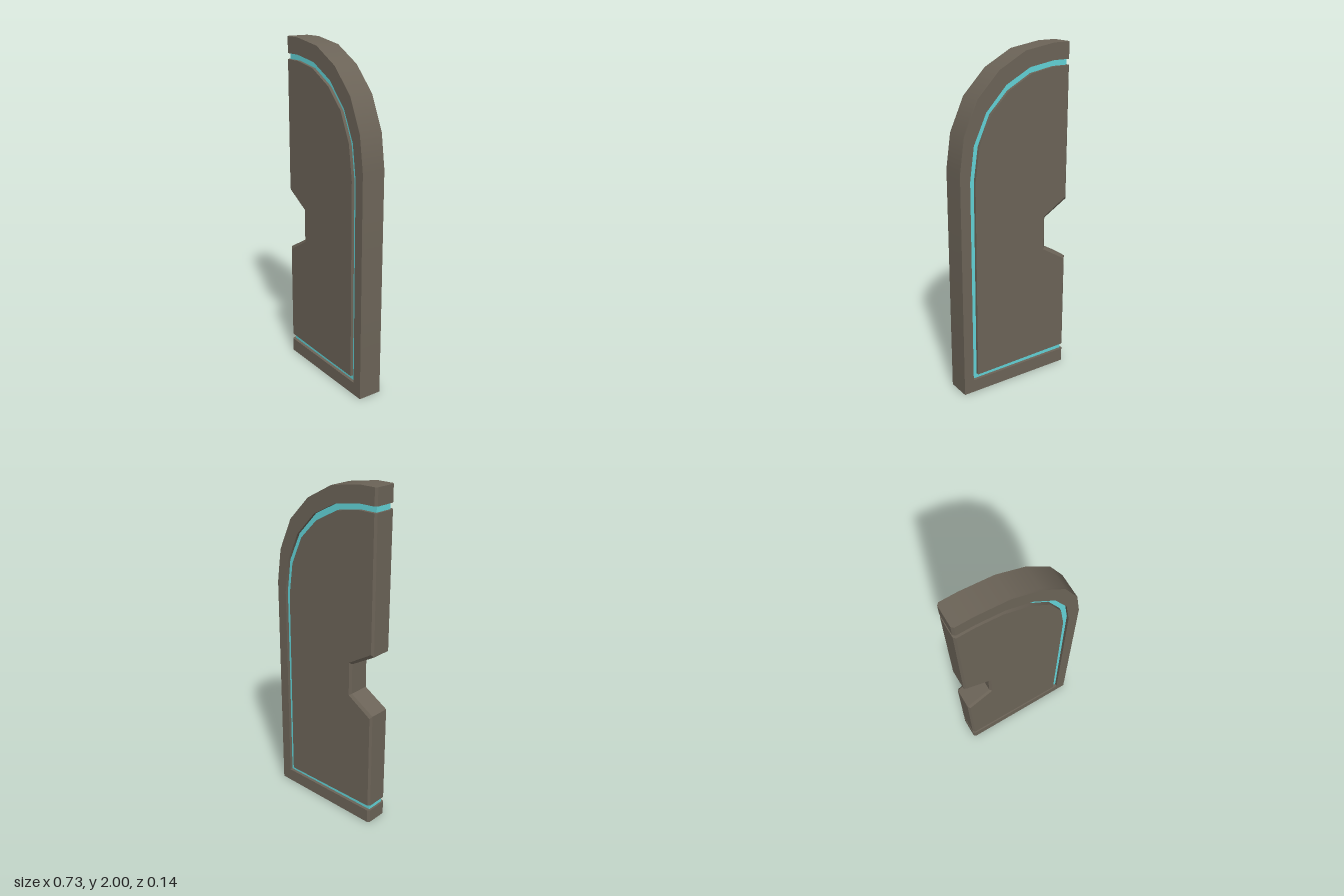
import * as THREE from 'three';
import { toCreasedNormals } from 'three/addons/utils/BufferGeometryUtils.js';

const LEFT = -0.365, CHAMFER = 0.012, HALF = 0.072, GROOVE = 0.054;

// Closed solid through equal-length counter-clockwise outlines, ordered back to front
function loft(sections) {
  const pos = [];
  const put = (s, i) => pos.push(s.pts[i][0], s.pts[i][1], s.z);
  const n = sections[0].pts.length;
  for (let k = 0; k < sections.length - 1; k++) {
    const a = sections[k], b = sections[k + 1];
    for (let i = 0; i < n; i++) {
      const j = (i + 1) % n;
      put(a, i); put(a, j); put(b, j);
      put(a, i); put(b, j); put(b, i);
    }
  }
  const cap = (s, front) => {
    const contour = s.pts.map(([x, y]) => new THREE.Vector2(x, y));
    for (const [a, b, c] of THREE.ShapeUtils.triangulateShape(contour, [])) {
      put(s, a); put(s, front ? b : c); put(s, front ? c : b);
    }
  };
  cap(sections[0], false);
  cap(sections[sections.length - 1], true);
  const geo = new THREE.BufferGeometry();
  geo.setAttribute('position', new THREE.Float32BufferAttribute(pos, 3));
  return toCreasedNormals(geo, 0.5);
}

// Slab whose outline narrows to a second outline at both faces
const chamferedSlab = (mid, face) => loft([
  { pts: face, z: -HALF }, { pts: mid, z: -HALF + CHAMFER },
  { pts: mid, z: HALF - CHAMFER }, { pts: face, z: HALF },
]);

// Moves only the points on the straight meeting edge
const inset = (pts, d) => pts.map(([x, y]) => [x === LEFT ? x + d : x, y]);

export function createModel() {
  const model = new THREE.Group();
  const stone = new THREE.MeshStandardMaterial({ name: 'greyBrown', color: 0x6b6357 });
  const glow = new THREE.MeshStandardMaterial({ name: 'cyan', color: 0x62d2d6 });
  const add = (name, geo, mat) => {
    const mesh = new THREE.Mesh(geo, mat);
    mesh.name = name;
    model.add(mesh);
  };

  // Arched outlines, from bottom left counter-clockwise to top left
  const outer = [[LEFT, 0], [0.364, 0], [0.364, 1.35], [0.335, 1.55], [0.248, 1.74],
    [0.11, 1.88], [-0.06, 1.97], [-0.25, 2], [LEFT, 2]];
  const grooveOuter = [[LEFT, 0.083], [0.302, 0.078], [0.302, 1.3], [0.275, 1.495], [0.195, 1.665],
    [0.065, 1.8], [-0.09, 1.88], [-0.25, 1.905], [LEFT, 1.905]];
  const grooveInner = [[LEFT, 0.118], [0.271, 0.107], [0.268, 1.29], [0.24, 1.485], [0.165, 1.65],
    [0.05, 1.765], [-0.1, 1.845], [-0.25, 1.871], [LEFT, 1.871]];

  // Border around the arch, open at the meeting edge
  const frame = [...outer, ...[...grooveOuter].reverse()];
  add('doorFrame', chamferedSlab(frame, inset(frame, CHAMFER)), stone);

  // Central panel with the handle notch cut into its meeting edge
  const notchMid = [[LEFT, 1.085], [-0.21, 0.995], [-0.21, 0.81], [LEFT, 0.72]];
  const notchFace = [[LEFT + CHAMFER, 1.1], [-0.196, 1.004], [-0.196, 0.801], [LEFT + CHAMFER, 0.705]];
  add('doorPanel', chamferedSlab(
    [...grooveInner, ...notchMid],
    [...inset(grooveInner, CHAMFER), ...notchFace],
  ), stone);

  // Recessed coloured strip filling the groove
  const strip = inset([...grooveOuter, ...[...grooveInner].reverse()], CHAMFER);
  add('grooveStrip', loft([{ pts: strip, z: -GROOVE }, { pts: strip, z: GROOVE }]), glow);

  return model;
}
